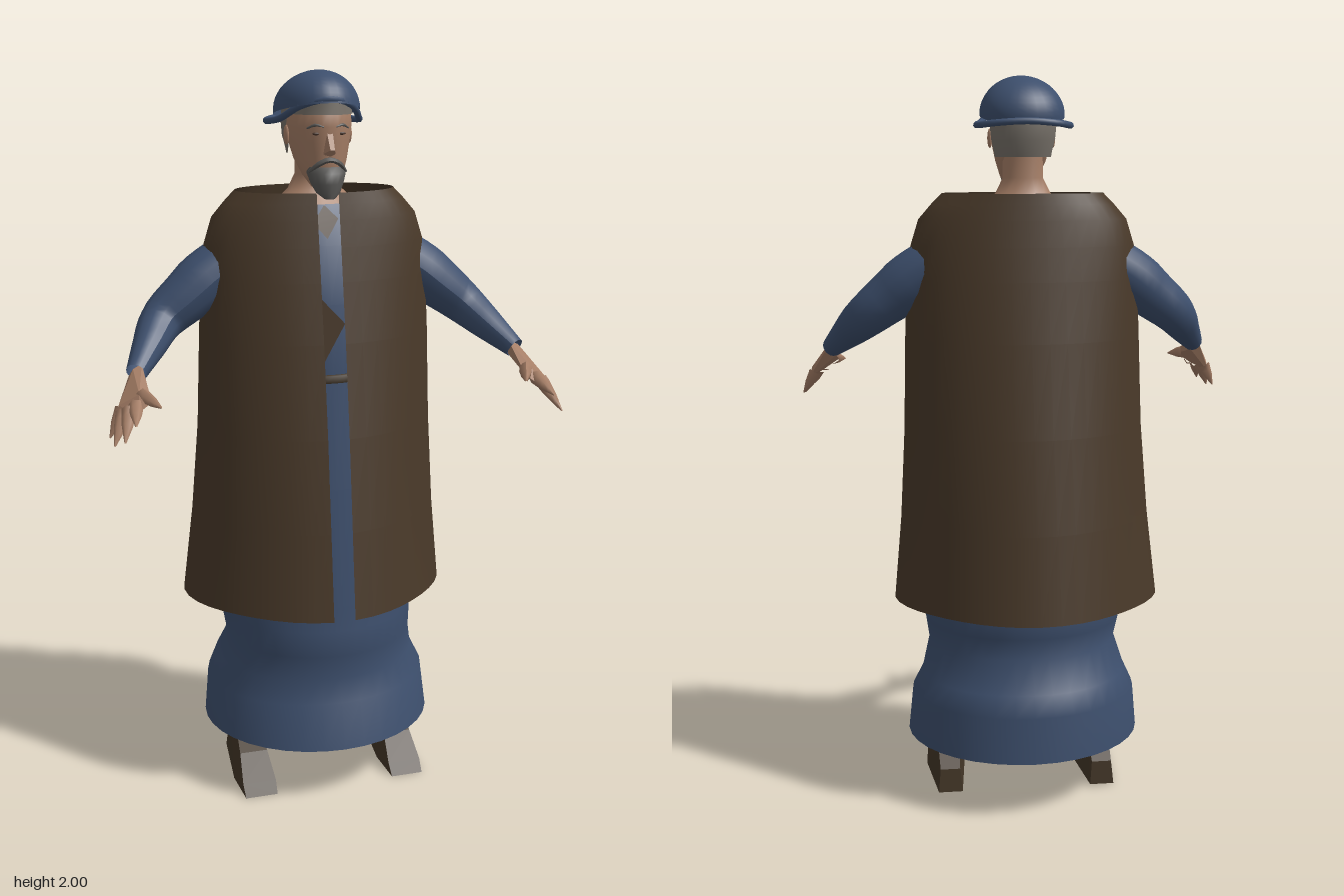
import * as THREE from 'three';
import { ConvexGeometry } from 'three/addons/geometries/ConvexGeometry.js';

const mat = (name, color, double = false) => {
  const m = new THREE.MeshStandardMaterial({ color });
  m.name = name;
  if (double) m.side = THREE.DoubleSide;
  return m;
};
const V = (x, y, z) => new THREE.Vector3(x, y, z);

// Skin over oval cross-sections, rows going up: [y, halfWidth, zFront, zBack, xShift, pinch].
// Pinch draws the diagonals in; a slit half-width leaves the front open.
function loft(rows, n = 28, slit = 0) {
  const pos = [], idx = [];
  const closed = slit === 0, cols = closed ? n : n + 1;
  for (const [y, w, zf, zb, cx = 0, pinch = 0] of rows) {
    const e = closed ? 0 : Math.asin(slit / w);
    for (let j = 0; j < cols; j++) {
      const t = e + (2 * Math.PI - 2 * e) * j / n;
      const k = 1 - pinch * Math.sin(2 * t) ** 2;
      pos.push(cx + k * w * Math.sin(t), y, (zf + zb) / 2 + k * (zf - zb) / 2 * Math.cos(t));
    }
  }
  for (let i = 0; i < rows.length - 1; i++) {
    for (let j = 0; j < n; j++) {
      const k = (j + 1) % cols;
      const a = i * cols + j, b = i * cols + k, c = a + cols, d = b + cols;
      idx.push(a, b, d, a, d, c);
    }
  }
  const g = new THREE.BufferGeometry();
  g.setAttribute('position', new THREE.Float32BufferAttribute(pos, 3));
  g.setIndex(idx);
  g.computeVertexNormals();
  return g;
}

// Tapered tube through points; radii are spread evenly along its length.
function limb(points, radii, seg = 12, sides = 12) {
  const curve = new THREE.CatmullRomCurve3(points, false, 'centripetal');
  const g = new THREE.TubeGeometry(curve, seg, 1, sides);
  const p = g.attributes.position, v = V();
  for (let i = 0; i <= seg; i++) {
    const c = curve.getPointAt(i / seg);
    const f = i / seg * (radii.length - 1), k = Math.min(Math.floor(f), radii.length - 2);
    const r = THREE.MathUtils.lerp(radii[k], radii[k + 1], f - k);
    for (let j = 0; j <= sides; j++) {
      const q = i * (sides + 1) + j;
      v.fromBufferAttribute(p, q).sub(c).multiplyScalar(r).add(c);
      p.setXYZ(q, v.x, v.y, v.z);
    }
  }
  g.computeVertexNormals();
  return g;
}

// Flat patch from a fan of corners.
function patch(corners) {
  const g = new THREE.BufferGeometry().setFromPoints(corners);
  const idx = [];
  for (let i = 1; i < corners.length - 1; i++) idx.push(0, i, i + 1);
  g.setIndex(idx);
  g.computeVertexNormals();
  return g;
}

export function createModel() {
  const blue = mat('blue cloth', 0x3d4f6d, true);
  const brown = mat('brown wool', 0x493929, true);
  const skin = mat('skin', 0xa57e66);
  const grey = mat('grey hair', 0x78726a);
  const beardGrey = mat('beard grey', 0x5a5957);
  const leather = mat('dark leather', 0x423526, true);
  const dark = mat('dark eyes', 0x4a362c);

  const model = new THREE.Group();
  const add = (name, geo, material, parent = model) => {
    const m = new THREE.Mesh(geo, material);
    m.name = name;
    parent.add(m);
    return m;
  };

  // Flared, creased skirt hanging loosely around the torso
  add('skirt', loft([
    [0.165, 0.33, 0.285, -0.322], [0.29, 0.318, 0.25, -0.308], [0.35, 0.29, 0.216, -0.295],
    [0.43, 0.267, 0.24, -0.232], [0.5, 0.277, 0.23, -0.265], [0.57, 0.285, 0.222, -0.255],
    [0.9, 0.26, 0.19, -0.215], [1.2, 0.225, 0.152, -0.18],
  ], 36), blue);
  add('torso', loft([
    [1.12, 0.16, 0.15, -0.13], [1.2, 0.155, 0.148, -0.13], [1.4, 0.17, 0.138, -0.132],
    [1.55, 0.19, 0.09, -0.13], [1.62, 0.175, 0.055, -0.12], [1.66, 0.11, 0.04, -0.1], [1.675, 0.06, 0.02, -0.07],
  ], 32), blue);
  add('belt', loft([
    [1.19, 0.16, 0.154, -0.135], [1.192, 0.166, 0.162, -0.14],
    [1.212, 0.166, 0.162, -0.14], [1.214, 0.16, 0.154, -0.135],
  ], 36), leather);
  add('chestWrap', patch([V(-0.04, 1.43, 0.138), V(-0.04, 1.22, 0.153), V(0.035, 1.35, 0.147)]), brown);
  add('collarWrap', patch([V(-0.035, 1.61, 0.084), V(0, 1.57, 0.1), V(0.035, 1.62, 0.08), V(0, 1.655, 0.064)]), brown);

  // Long sleeveless cloak, open along the front
  const cloakRows = [
    [0.565, 0.375, -0.01], [0.8, 0.35, -0.006], [1.05, 0.333, -0.002], [1.3, 0.325, 0],
    [1.46, 0.318, 0], [1.55, 0.307, 0], [1.62, 0.285, 0], [1.66, 0.25, 0], [1.69, 0.22, 0],
  ].map(([y, w, cx]) => {
    const d = 1.69 - y;
    return [y, w, 0.1 + 0.185 * d, -0.157 - 0.173 * d, cx, 0.05 * d];
  });
  add('cloak', loft(cloakRows, 40, 0.03), brown);

  // Arms, hands and feet
  for (const s of [1, -1]) {
    const side = s > 0 ? 'left' : 'right';
    const P = (x, y, z) => V(s * x, y, z);

    add(side + 'Sleeve', limb(
      [P(0.12, 1.56, -0.04), P(0.28, 1.475, -0.03), P(0.355, 1.418, -0.018), P(0.428, 1.36, -0.002),
        P(0.478, 1.307, 0.072), P(0.526, 1.255, 0.15)],
      [0.065, 0.076, 0.077, 0.063, 0.047, 0.028], 22, 14), blue);

    // Flat, spread hand with pointed fingers
    const hand = new THREE.Group();
    hand.name = side + 'Hand';
    model.add(hand);
    add('palm', new ConvexGeometry([
      P(0.51, 1.275, 0.14), P(0.545, 1.245, 0.14), P(0.515, 1.235, 0.13), P(0.535, 1.265, 0.15),
      P(0.508, 1.205, 0.27), P(0.545, 1.18, 0.275), P(0.598, 1.15, 0.228), P(0.585, 1.19, 0.22),
      P(0.535, 1.222, 0.245),
    ]), skin, hand);
    const fingers = [
      ['thumb', P(0.525, 1.215, 0.23), P(0.49, 1.2, 0.312)],
      ['indexFinger', P(0.545, 1.195, 0.25), P(0.56, 1.165, 0.342)],
      ['middleFinger', P(0.562, 1.185, 0.25), P(0.587, 1.122, 0.332)],
      ['ringFinger', P(0.575, 1.175, 0.235), P(0.608, 1.105, 0.295)],
      ['littleFinger', P(0.575, 1.18, 0.215), P(0.612, 1.112, 0.238)],
    ];
    for (const [name, a, b] of fingers) {
      add(name, limb([a, a.clone().lerp(b, 0.5), b], [0.02, 0.014, 0.002], 4, 6), skin, hand);
    }

    const shoe = [];
    for (const [w, y, z] of [
      [0.034, 0.005, -0.125], [0.056, 0.005, 0.08], [0.046, 0, 0.192], [0.04, 0.09, 0.095],
      [0.033, 0.135, 0.01], [0.03, 0.115, -0.06], [0.028, 0.07, -0.115], [0.048, 0.03, 0.165],
    ]) shoe.push(P(0.219 - w, y, z), P(0.219 + w, y, z));
    add(side + 'Shoe', new ConvexGeometry(shoe), leather);
    add(side + 'Ankle', limb([P(0.218, 0.115, -0.02), P(0.212, 0.14, -0.012), P(0.207, 0.165, -0.006)],
      [0.024, 0.016, 0.005], 4, 8), skin);
  }

  // Neck and head
  const head = new THREE.Group();
  head.name = 'head';
  model.add(head);
  add('neck', loft([
    [1.655, 0.115, 0.05, -0.1], [1.69, 0.075, 0.02, -0.08],
    [1.73, 0.055, 0.015, -0.072], [1.82, 0.055, 0.03, -0.075],
  ], 16), skin, head);
  add('skull', loft([
    [1.7, 0.002, 0.08, 0.07], [1.705, 0.034, 0.102, 0.03], [1.735, 0.054, 0.112, -0.01],
    [1.775, 0.069, 0.117, -0.065], [1.82, 0.08, 0.118, -0.092], [1.86, 0.085, 0.122, -0.098],
    [1.9, 0.084, 0.118, -0.098], [1.95, 0.065, 0.085, -0.07],
  ], 24), skin, head);
  add('nose', new ConvexGeometry([
    V(-0.008, 1.85, 0.115), V(0.008, 1.85, 0.115), V(-0.018, 1.79, 0.11), V(0.018, 1.79, 0.11),
    V(-0.006, 1.803, 0.144), V(0.006, 1.803, 0.144), V(0, 1.786, 0.125),
  ]), skin, head);

  // Hair around the back of the head, and a fringe under the cap
  add('hair', loft([
    [1.785, 0.076, 0.03, -0.09], [1.83, 0.086, 0.035, -0.104],
    [1.87, 0.09, 0.04, -0.106], [1.91, 0.089, 0.05, -0.104],
  ], 24, 0.0755), grey, head);
  add('fringe', loft([[1.89, 0.087, 0.125, -0.1], [1.925, 0.082, 0.122, -0.095]], 24), grey, head);

  // Beard and moustache
  add('beard', loft([
    [1.677, 0.014, 0.132, 0.1], [1.692, 0.032, 0.134, 0.07], [1.715, 0.043, 0.137, 0.045],
    [1.742, 0.052, 0.137, 0.025], [1.758, 0.05, 0.117, 0.025],
  ], 16), beardGrey, head);
  add('moustache', limb([V(-0.05, 1.745, 0.095), V(-0.026, 1.768, 0.116), V(0, 1.777, 0.122),
    V(0.026, 1.768, 0.116), V(0.05, 1.745, 0.095)], [0.004, 0.007, 0.007, 0.007, 0.004], 12, 6), beardGrey, head);

  for (const s of [1, -1]) {
    const ear = add('ear', new THREE.SphereGeometry(1, 10, 8), skin, head);
    ear.scale.set(0.007, 0.026, 0.016);
    ear.position.set(s * 0.086, 1.835, 0.005);
    const eye = add('eye', new THREE.SphereGeometry(1, 10, 6), dark, head);
    eye.scale.set(0.011, 0.004, 0.004);
    eye.position.set(s * 0.034, 1.843, 0.11);
    add('eyebrow', limb([V(s * 0.016, 1.86, 0.119), V(s * 0.036, 1.865, 0.111), V(s * 0.056, 1.856, 0.096)],
      [0.002, 0.004, 0.002], 6, 6), beardGrey, head);
  }

  // Round cap tipped back, narrowing to the front, with a rolled rim
  const capGeo = new THREE.SphereGeometry(1, 28, 12, 0, Math.PI * 2, 0, Math.PI * 0.52);
  const cp = capGeo.attributes.position;
  for (let i = 0; i < cp.count; i++) cp.setX(i, cp.getX(i) * (1 - 0.12 * cp.getZ(i)));
  capGeo.computeVertexNormals();
  const cap = add('cap', capGeo, blue, head);
  cap.scale.set(0.114, 0.098, 0.127);
  cap.rotation.x = -0.2;
  cap.position.set(0, 1.901, 0.004);
  const rim = new THREE.CatmullRomCurve3([
    V(0, 1.93, 0.122), V(0.066, 1.914, 0.088), V(0.108, 1.878, 0.02), V(0.126, 1.868, -0.055),
    V(0.085, 1.872, -0.115), V(0, 1.877, -0.132), V(-0.085, 1.872, -0.115),
    V(-0.126, 1.868, -0.055), V(-0.108, 1.878, 0.02), V(-0.066, 1.914, 0.088),
  ], true);
  add('capRim', new THREE.TubeGeometry(rim, 48, 0.009, 8, true), blue, head);

  return model;
}
